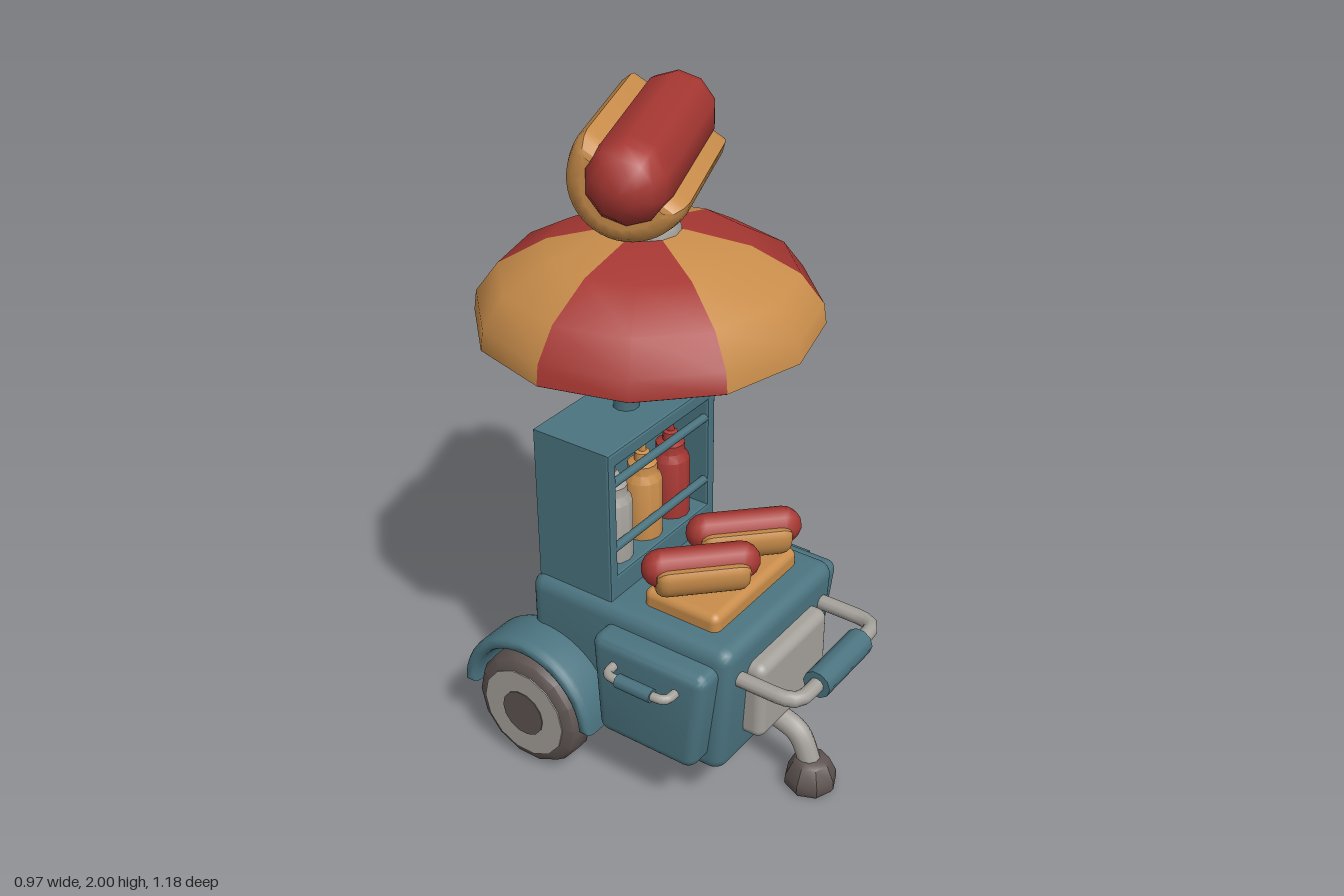
import * as THREE from 'three';
import { toCreasedNormals } from 'three/addons/utils/BufferGeometryUtils.js';
import { RoundedBoxGeometry } from 'three/addons/geometries/RoundedBoxGeometry.js';

const mat = (name, color) => Object.assign(new THREE.MeshStandardMaterial({ color }), { name });
const V = (x, y, z) => new THREE.Vector3(x, y, z);

export function createModel() {
  const teal = mat('teal paint', 0x4b7480);
  const red = mat('sausage red', 0xa63732);
  const orange = mat('bun orange', 0xc98d4b);
  const grey = mat('light metal', 0xa5a19b);
  const dark = mat('dark rubber', 0x5e5451);

  const model = new THREE.Group();
  model.name = 'foodCart';

  const add = (name, geometry, material, x = 0, y = 0, z = 0, parent = model) => {
    const mesh = new THREE.Mesh(geometry, material);
    mesh.name = name;
    mesh.position.set(x, y, z);
    parent.add(mesh);
    return mesh;
  };
  const box = (w, h, d, r) => new RoundedBoxGeometry(w, h, d, 3, r);
  const lathe = (pts, seg, start = 0, len = Math.PI * 2) => toCreasedNormals(
    new THREE.LatheGeometry(pts.map(p => new THREE.Vector2(...p)), seg, start, len), 0.7);
  const tube = (pts, r, tension = 0.25) => new THREE.TubeGeometry(
    new THREE.CatmullRomCurve3(pts, false, 'catmullrom', tension), 32, r, 10);
  const rod = (r, len, axis, seg = 10) => {
    const g = new THREE.CylinderGeometry(r, r, len, seg);
    return axis === 'x' ? g.rotateZ(-Math.PI / 2) : g.rotateX(Math.PI / 2);
  };
  // Bevelled extrusion of a profile, centred along x (profile x points to the back)
  const extrudeX = (shape, length, bevel, thick) => {
    const g = new THREE.ExtrudeGeometry(shape, {
      depth: length - 2 * thick, bevelSize: bevel, bevelThickness: thick,
      bevelOffset: -bevel, bevelSegments: 3, curveSegments: 12,
    });
    g.translate(0, 0, thick - length / 2).rotateY(Math.PI / 2);
    return toCreasedNormals(g, 0.8);
  };
  // Narrow the lower part of a box along z
  const taperZ = (g, h, front, back) => {
    const p = g.attributes.position;
    for (let i = 0; i < p.count; i++) {
      const t = 0.5 - p.getY(i) / h, z = p.getZ(i);
      p.setZ(i, z > 0 ? z - front * t : z + back * t);
    }
    g.computeVertexNormals();
    return toCreasedNormals(g, 0.7);
  };

  // Cart body, front plate and serving tray
  add('body', taperZ(box(0.58, 0.437, 0.705, 0.045), 0.437, 0.025, 0), teal, 0, 0.382, 0.008);
  add('frontPlate', box(0.36, 0.26, 0.09, 0.03), grey, 0, 0.38, 0.36);
  add('tray', box(0.43, 0.075, 0.255, 0.025), orange, 0, 0.615, 0.143);

  // Front push handle
  add('frontHandle', tube([V(-0.22, 0.487, 0.32), V(-0.22, 0.487, 0.49), V(-0.205, 0.487, 0.53),
    V(-0.165, 0.487, 0.542), V(0.165, 0.487, 0.542), V(0.205, 0.487, 0.53),
    V(0.22, 0.487, 0.49), V(0.22, 0.487, 0.32)], 0.023), grey);
  add('frontGrip', rod(0.043, 0.24, 'x'), teal, 0, 0.487, 0.542);

  // Front support leg and rubber foot
  add('frontLeg', tube([V(0, 0.21, 0.29), V(0, 0.2, 0.36), V(0, 0.165, 0.43), V(0, 0.06, 0.475)],
    0.035, 0.5), grey);
  add('foot', lathe([[0, 0], [0.072, 0], [0.08, 0.015], [0.078, 0.04], [0.055, 0.09],
    [0.04, 0.1], [0, 0.1]], 8), dark, 0, 0, 0.472);

  // Left and right side bins, handles, wheels and fenders
  const arch = new THREE.Shape();
  arch.absarc(0, 0, 0.24, 0, Math.PI, false);
  arch.absarc(0, 0, 0.197, Math.PI, 0, true);
  arch.closePath();
  for (const s of [1, -1]) {
    const side = new THREE.Group();
    side.name = s > 0 ? 'leftSide' : 'rightSide';
    model.add(side);
    add('sideBin', taperZ(box(0.15, 0.34, 0.395, 0.035), 0.34, 0.04, 0.02), teal,
      s * 0.29, 0.38, 0.133, side);
    add('sideHandle', tube([V(s * 0.35, 0.475, 0.235), V(s * 0.395, 0.475, 0.232),
      V(s * 0.41, 0.475, 0.205), V(s * 0.41, 0.475, 0.05), V(s * 0.395, 0.475, 0.025),
      V(s * 0.35, 0.475, 0.022)], 0.014), grey, 0, 0, 0, side);
    add('sideGrip', rod(0.021, 0.12, 'z', 8), teal, s * 0.41, 0.475, 0.13, side);

    const tyre = lathe([[0, -0.058], [0.15, -0.058], [0.178, -0.045], [0.19, -0.02],
      [0.19, 0.02], [0.178, 0.045], [0.15, 0.058], [0, 0.058]], 14).rotateZ(-Math.PI / 2);
    add('tyre', tyre, dark, s * 0.36, 0.195, -0.28, side);
    add('rim', rod(0.147, 0.008, 'x', 14), grey, s * 0.418, 0.195, -0.28, side);
    add('hub', rod(0.075, 0.008, 'x', 14), dark, s * 0.421, 0.195, -0.28, side);
    add('fender', extrudeX(arch, 0.16, 0.014, 0.03), teal, s * 0.328, 0.2, -0.285, side);
  }

  // Condiment cabinet with an open front
  const frame = new THREE.Shape([[-0.26, 0.59], [0.26, 0.59], [0.26, 1.085], [-0.26, 1.085]]
    .map(p => new THREE.Vector2(...p)));
  frame.holes.push(new THREE.Path([[-0.225, 0.675], [-0.225, 1.038], [0.225, 1.038], [0.225, 0.675]]
    .map(p => new THREE.Vector2(...p))));
  add('cabinetFrame', new THREE.ExtrudeGeometry(frame, {
    depth: 0.142, bevelSize: 0.008, bevelThickness: 0.008, bevelOffset: -0.008, bevelSegments: 2,
  }), teal, 0, 0, -0.21);
  add('cabinetBack', new THREE.BoxGeometry(0.52, 0.495, 0.12), teal, 0, 0.8375, -0.262);
  for (const y of [0.76, 0.975]) add('cabinetBar', rod(0.013, 0.46, 'x', 8), teal, 0, y, -0.075);

  // Squeeze bottles
  const bottle = lathe([[0, 0], [0.058, 0], [0.058, 0.19], [0.044, 0.212], [0.044, 0.24],
    [0.024, 0.25], [0.022, 0.275], [0.012, 0.28], [0.01, 0.335], [0, 0.335]], 12);
  [[grey, -0.145], [orange, 0], [red, 0.14]].forEach(([m, x]) =>
    add('bottle', bottle, m, x, 0.675, -0.138));

  // Bent pole: lower sleeve and upper tube
  add('poleSleeve', tube([V(0, 1.05, -0.195), V(0, 1.13, -0.187), V(0, 1.2, -0.163),
    V(0, 1.28, -0.125)], 0.039, 0.5), teal);
  add('poleTube', tube([V(0, 1.25, -0.14), V(0, 1.3, -0.117), V(0, 1.35, -0.107),
    V(0, 1.42, -0.106)], 0.036, 0.5), grey);

  // Parasol in six two-panel sectors, with a cap on top
  for (let i = 0; i < 6; i++) {
    add('parasolSector', lathe([[0, 1.395], [0.478, 1.388], [0.484, 1.392], [0.476, 1.45],
      [0.412, 1.535], [0.275, 1.612], [0.1, 1.652], [0, 1.66]], 2, -Math.PI / 6 + i * Math.PI / 3,
      Math.PI / 3), i % 2 ? red : orange, 0, 0, -0.108);
  }
  add('parasolCap', lathe([[0, 1.63], [0.09, 1.63], [0.088, 1.665], [0.07, 1.705], [0.035, 1.73],
    [0, 1.735]], 12), grey, 0, 0, -0.106);

  // Hot dogs: a rounded half bun cradling a sausage
  const half = new THREE.Shape();
  half.moveTo(0.155, 0.03);
  half.lineTo(-0.155, 0.03);
  half.absellipse(0, 0, 0.165, 0.178, Math.PI, Math.PI * 2, false);
  half.closePath();
  const bunGeometry = extrudeX(half, 0.56, 0.05, 0.065);
  const sausageGeometry = new THREE.CapsuleGeometry(0.115, 0.486, 4, 10).rotateZ(Math.PI / 2);
  const hotDog = (name, x, y, z, turn, tilt, size) => {
    const g = new THREE.Group();
    g.name = name;
    add('sausage', sausageGeometry, red, 0, 0, 0, g);
    add('bun', bunGeometry, orange, 0, 0, 0, g).rotation.x = tilt;
    g.position.set(x, y, z);
    g.rotation.y = turn;
    g.scale.setScalar(size);
    model.add(g);
  };
  hotDog('roofHotDog', 0.01, 1.885, -0.095, 0.385, 0.58, 1);
  for (const x of [-0.11, 0.11]) hotDog('servedHotDog', x, 0.73, 0.145, Math.PI * 0.75, 0.15, 0.48);

  return model;
}
